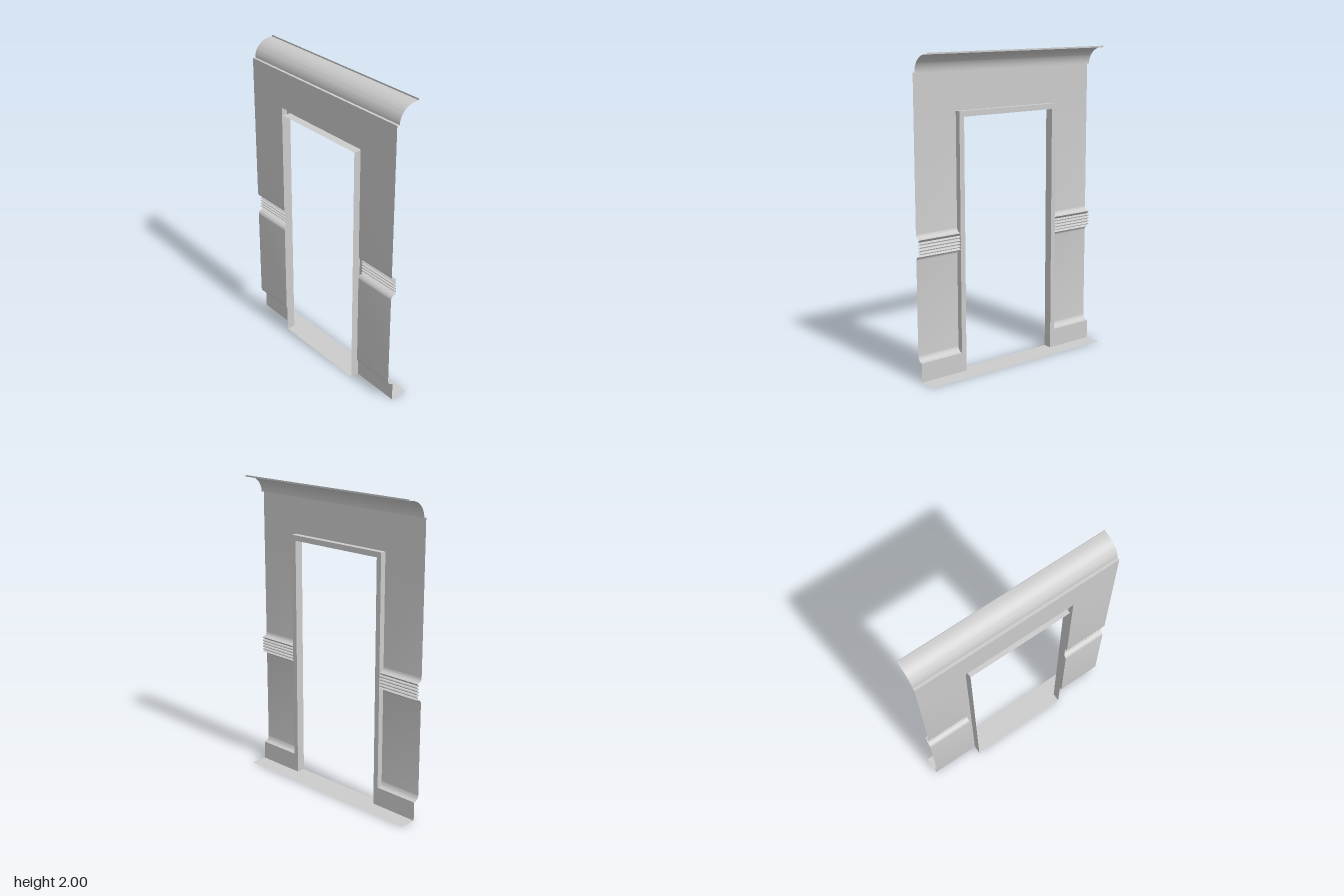
import * as THREE from 'three';
import { toCreasedNormals } from 'three/addons/utils/BufferGeometryUtils.js';

const material = new THREE.MeshStandardMaterial({ color: 0xcccccc, side: THREE.DoubleSide });

const FACE = -0.03;    // front plane of plinth, rail and door trim
const PANEL = -0.068;  // recessed wall panels
const BACK = -0.086;   // rear edge of the door reveal
const HALF = 0.68;     // half length of the wall
const OUT = 0.38, OUT_TOP = 1.64;   // trim outer edge
const IN = 0.346, IN_TOP = 1.605;   // trim inner edge

// Sweeps an open [x, y] profile along z as a thin sheet.
function sweep(profile, z0, z1) {
  const pos = [];
  for (let i = 0; i < profile.length - 1; i++) {
    const [ax, ay] = profile[i], [bx, by] = profile[i + 1];
    pos.push(ax, ay, z1, ax, ay, z0, bx, by, z0, ax, ay, z1, bx, by, z0, bx, by, z1);
  }
  const g = new THREE.BufferGeometry();
  g.setAttribute('position', new THREE.Float32BufferAttribute(pos, 3));
  return toCreasedNormals(g, 0.6);
}

// Points on a quarter ellipse from angle a to angle b (in degrees).
function arc(cx, cy, rx, ry, a, b, n = 8) {
  return Array.from({ length: n + 1 }, (_, i) => {
    const t = THREE.MathUtils.degToRad(a + (b - a) * i / n);
    return [cx + rx * Math.cos(t), cy + ry * Math.sin(t)];
  });
}

function add(group, name, geometry) {
  const mesh = new THREE.Mesh(geometry, material);
  mesh.name = name;
  group.add(mesh);
  return mesh;
}

// Wall section from floor to the height of the trim: plinth, panel, ribbed rail, panel.
function wallProfile() {
  const r = FACE - PANEL;
  const ribs = [];
  const ribCount = 4, y0 = 0.8, pitch = 0.02;
  for (let i = 0; i < ribCount; i++) {
    const y = y0 + i * pitch;
    ribs.push([-0.047, y], [-0.034, y + 0.003], [FACE - 0.001, y + 0.008],
      [-0.034, y + 0.013], [-0.047, y + 0.016]);
  }
  return [
    [FACE, 0],
    ...arc(FACE, 0.163, r, 0.04, 270, 180),
    ...arc(FACE, 0.76, r, 0.03, 180, 90),
    ...ribs,
    ...arc(FACE, 0.923, r, 0.03, 270, 180),
    [PANEL, OUT_TOP],
  ];
}

export function createModel() {
  const model = new THREE.Group();
  model.name = 'doorwayWall';
  const profile = wallProfile();

  // Side walls and the trim's outer returns
  const returnShape = new THREE.Shape(
    [...profile, [FACE, OUT_TOP]].map(([x, y]) => new THREE.Vector2(x, y)));
  for (const [side, s] of [['left', 1], ['right', -1]]) {
    const [z0, z1] = s > 0 ? [OUT, HALF] : [-HALF, -OUT];
    add(model, side + 'WallPanel', sweep(profile, z0, z1));
    add(model, side + 'TrimReturn', new THREE.ShapeGeometry(returnShape)).position.z = s * OUT;
    const reveal = new THREE.PlaneGeometry(FACE - BACK, IN_TOP);
    add(model, side + 'DoorReveal', reveal)
      .position.set((FACE + BACK) / 2, IN_TOP / 2, s * IN);
  }

  // Header wall over the door, ending in a small ledge under the cove
  add(model, 'headerWall', sweep([[PANEL, OUT_TOP], [PANEL, 1.88], [-0.05, 1.88]], -HALF, HALF));

  // Flat U-shaped trim around the opening
  const trim = new THREE.Shape([
    [-OUT, 0], [-IN, 0], [-IN, IN_TOP], [IN, IN_TOP],
    [IN, 0], [OUT, 0], [OUT, OUT_TOP], [-OUT, OUT_TOP],
  ].map(([z, y]) => new THREE.Vector2(z, y)));
  const trimGeometry = new THREE.ShapeGeometry(trim);
  trimGeometry.rotateY(Math.PI / 2);
  add(model, 'doorTrim', trimGeometry).position.x = FACE;
  add(model, 'trimTopReturn', sweep([[PANEL, OUT_TOP], [FACE, OUT_TOP]], -OUT, OUT));
  add(model, 'doorSoffit', sweep([[BACK, IN_TOP], [FACE, IN_TOP]], -IN, IN));

  // Ceiling cove with a slim lip at its edge
  const cove = [...arc(0.07, 1.88, 0.12, 0.11, 180, 90, 16), [0.084, 1.99], [0.084, 2]];
  add(model, 'ceilingCove', sweep(cove, -HALF, HALF));

  // Floor strip and door threshold
  add(model, 'floorStrip', sweep([[FACE, 0], [0.084, 0]], -HALF, HALF));
  add(model, 'threshold', sweep([[BACK, 0], [FACE, 0]], -IN, IN));

  return model;
}
